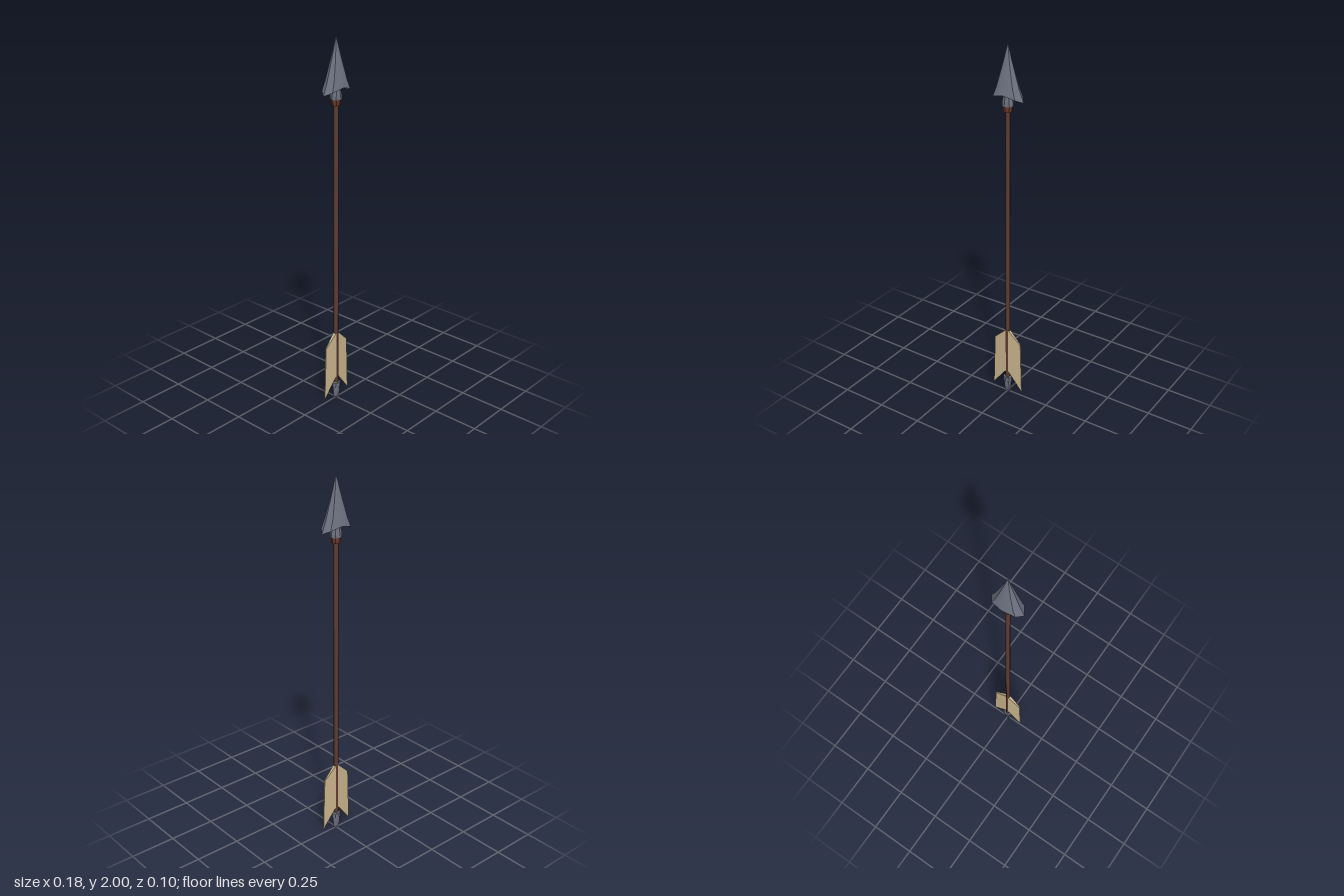
import * as THREE from 'three';
import { toCreasedNormals } from 'three/addons/utils/BufferGeometryUtils.js';

const steel = new THREE.MeshStandardMaterial({ color: 0x6d7180 });
const wood = new THREE.MeshStandardMaterial({ color: 0x5e3b31 });
const leather = new THREE.MeshStandardMaterial({ color: 0x6b3a2a });
const feather = new THREE.MeshStandardMaterial({ color: 0xc9b48c });

// Skin eight-sided rings [y, half width x, half depth z, drop at the sides], bottom to top
function loft(rings, crease = 0.7, sides = 8) {
  const pos = [], index = [];
  for (const [y, rx, rz, drop = 0] of rings) {
    for (let j = 0; j < sides; j++) {
      const a = (j / sides) * Math.PI * 2;
      pos.push(rx * Math.cos(a), y - drop * Math.cos(a) ** 2, rz * Math.sin(a));
    }
  }
  for (let i = 0; i < rings.length - 1; i++) {
    for (let j = 0; j < sides; j++) {
      const k = (j + 1) % sides;
      const a = i * sides + j, b = i * sides + k;
      index.push(a, a + sides, b, b, a + sides, b + sides);
    }
  }
  const geo = new THREE.BufferGeometry();
  geo.setAttribute('position', new THREE.Float32BufferAttribute(pos, 3));
  geo.setIndex(index);
  return toCreasedNormals(geo, crease);
}

// Swept-back vane, thick at the shaft and thin at its outer edge
function vane(side) {
  const shape = new THREE.Shape([
    [0, 0.41], [0, 0.13], [0.012, 0.13], [0.092, 0.025], [0.082, 0.33],
  ].map(([x, y]) => new THREE.Vector2(x * side, y)));
  const geo = new THREE.ExtrudeGeometry(shape, { depth: 0.02, bevelEnabled: false });
  geo.translate(0, 0, -0.01);
  const p = geo.attributes.position;
  for (let i = 0; i < p.count; i++) {
    p.setZ(i, p.getZ(i) * (1 - 0.8 * Math.abs(p.getX(i)) / 0.092));
  }
  geo.computeVertexNormals();
  return geo;
}

export function createModel() {
  const arrow = new THREE.Group();
  arrow.name = 'arrow';
  const add = (name, geo, mat) => {
    const mesh = new THREE.Mesh(geo, mat);
    mesh.name = name;
    arrow.add(mesh);
  };

  // Barbed head, hollowed underneath
  add('arrowhead', loft([
    [1.752, 0, 0],
    [1.747, 0.028, 0.024],
    [1.75, 0.091, 0.05, 0.035],
    [1.79, 0.066, 0.042, 0.015],
    [1.85, 0.043, 0.03],
    [1.92, 0.021, 0.016],
    [2, 0, 0],
  ]), steel);

  // Socket below the head
  add('headSocket', loft([
    [1.686, 0, 0],
    [1.686, 0.031, 0.027],
    [1.705, 0.03, 0.029],
    [1.73, 0.024, 0.025],
    [1.76, 0.022, 0.022],
  ]), steel);

  // Binding where the shaft meets the socket
  add('collar', loft([
    [1.655, 0, 0],
    [1.655, 0.022, 0.022],
    [1.69, 0.026, 0.026],
    [1.69, 0, 0],
  ]), leather);

  const shaft = new THREE.CylinderGeometry(0.0125, 0.0125, 1.6, 8);
  shaft.translate(0, 0.87, 0);
  add('shaft', shaft, wood);

  add('leftVane', vane(1), feather);
  add('rightVane', vane(-1), feather);

  // Nock with a rim, narrowing to a wedge
  add('nock', loft([
    [0, 0, 0],
    [0.002, 0.014, 0.006],
    [0.018, 0.019, 0.014],
    [0.07, 0.022, 0.021],
    [0.073, 0.026, 0.025],
    [0.097, 0.026, 0.025],
    [0.1, 0.022, 0.022],
    [0.1, 0, 0],
  ]), steel);

  return arrow;
}
